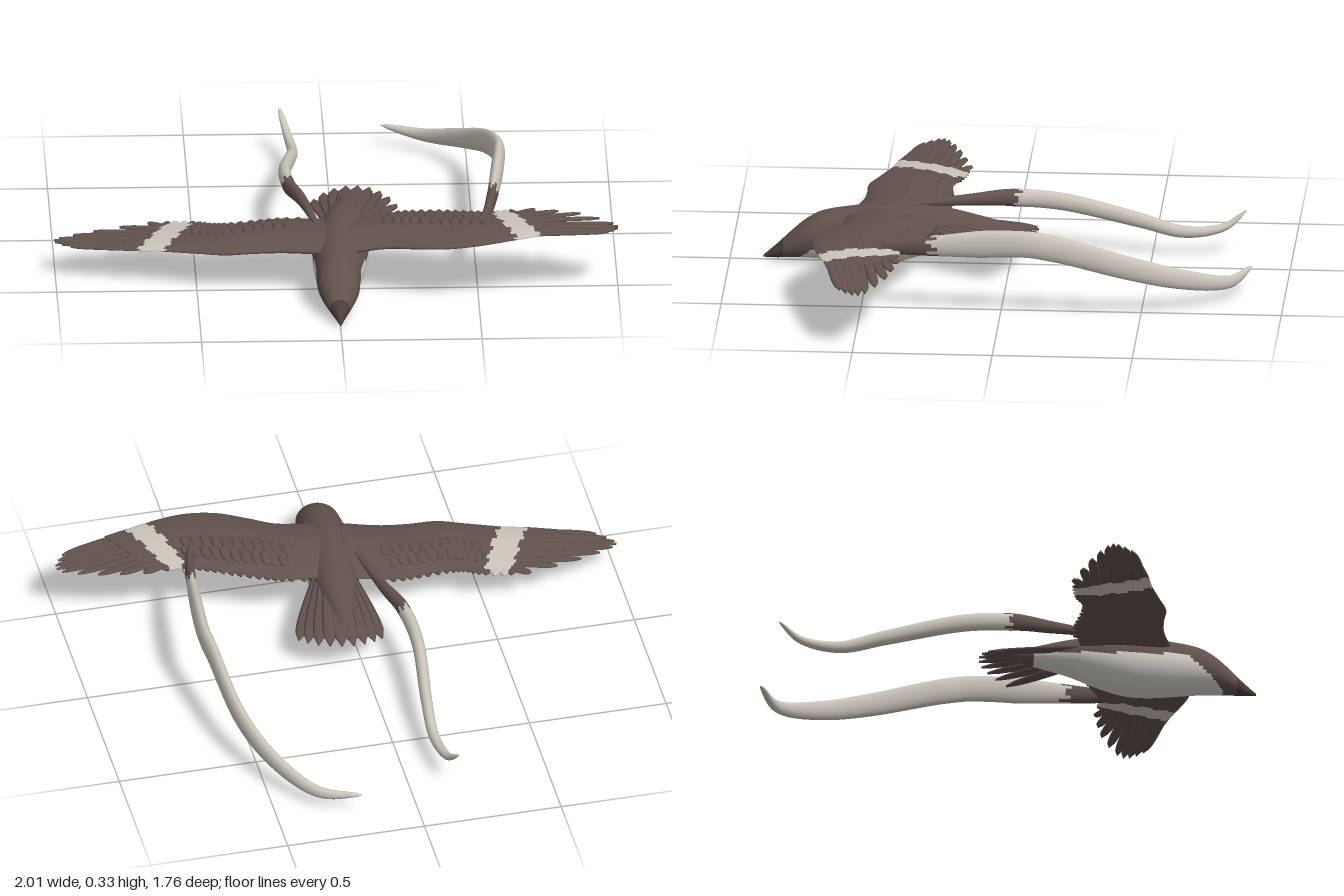
import * as THREE from 'three';

const mat = (name, color) => {
  const m = new THREE.MeshStandardMaterial({ color });
  m.name = name;
  return m;
};
const brown = mat('brown plumage', 0x62524d);
const dark = mat('dark beak', 0x4a3c39);
const white = mat('pale belly', 0xd6d2cb);
const cream = mat('cream feathers', 0xcbc5bb);

const V = (x, y, z) => new THREE.Vector3(x, y, z);
const spline = (pts) => new THREE.CatmullRomCurve3(pts, false, 'catmullrom', 0.5);
// n points around a section, from a function of the angle
const ring = (n, fn) => Array.from({ length: n }, (_, j) => fn((j / n) * Math.PI * 2));

// Closed skin over rings of points; pick(point, u, j) gives the material index of each cell
function loft(name, rings, mats, pick = () => 0) {
  const n = rings[0].length, rows = rings.length;
  const points = rings.flat();
  const at = (i, j) => i * n + (j % n);
  const lists = mats.map(() => []);
  for (let i = 0; i < rows - 1; i++) {
    for (let j = 0; j < n; j++) {
      const mid = rings[i][j].clone().lerp(rings[i + 1][(j + 1) % n], 0.5);
      lists[pick(mid, (i + 0.5) / (rows - 1), j)].push(
        at(i, j), at(i, j + 1), at(i + 1, j), at(i, j + 1), at(i + 1, j + 1), at(i + 1, j));
    }
  }
  // end caps
  [0, rows - 1].forEach((i) => {
    const c = rings[i].reduce((s, p) => s.add(p), V(0, 0, 0)).divideScalar(n);
    const k = points.push(c) - 1;
    const list = lists[pick(c, i / (rows - 1), 0)];
    for (let j = 0; j < n; j++) list.push(...(i ? [k, at(i, j), at(i, j + 1)] : [k, at(i, j + 1), at(i, j)]));
  });
  // turn every face outwards: a closed skin must hold a positive volume
  let volume = 0;
  lists.forEach((l) => {
    for (let k = 0; k < l.length; k += 3) {
      volume += points[l[k]].dot(points[l[k + 1]].clone().cross(points[l[k + 2]]));
    }
  });
  if (volume < 0) lists.forEach((l) => l.reverse());
  const g = new THREE.BufferGeometry().setFromPoints(points);
  g.setIndex(lists.flat());
  let start = 0;
  lists.forEach((l, m) => { g.addGroup(start, l.length, m); start += l.length; });
  g.computeVertexNormals();
  const mesh = new THREE.Mesh(g, mats);
  mesh.name = name;
  return mesh;
}

// Flat feather with a rounded tip
function feather(name, base, tip, width, material) {
  const dir = tip.clone().sub(base);
  const side = V(dir.z, 0, -dir.x).normalize();
  const rings = [];
  for (let i = 0; i <= 10; i++) {
    const t = i / 10;
    const w = width * 0.5 * (0.75 + 0.25 * t) * Math.sqrt(Math.max(0.01, 1 - t ** 5));
    rings.push(ring(8, (a) => base.clone().addScaledVector(dir, t)
      .addScaledVector(side, w * Math.cos(a)).add(V(0, 0.0045 * Math.sin(a), 0))));
  }
  return loft(name, rings, [material]);
}

function makeBody() {
  // z, centre x, bottom y, top y, half width
  const sections = [
    [0.88, 0, 0.008, 0.016, 0.003], [0.83, 0, 0.008, 0.06, 0.024], [0.78, 0, 0.012, 0.108, 0.05],
    [0.72, 0, 0.012, 0.158, 0.072], [0.65, 0, 0.008, 0.19, 0.08], [0.5, 0.01, 0, 0.215, 0.098],
    [0.4, 0.016, 0.01, 0.22, 0.1], [0.3, 0.025, 0.045, 0.22, 0.088], [0.2, 0.035, 0.088, 0.212, 0.068],
    [0, 0.05, 0.145, 0.17, 0.02],
  ];
  const low = spline(sections.map(([z, x, b]) => V(x, b, z)));
  const size = spline(sections.map(([z, , b, t, w]) => V(w, t - b, z)));
  const rings = [];
  for (let i = 0; i <= 88; i++) {
    const b = low.getPoint(i / 88), s = size.getPoint(i / 88);
    rings.push(ring(48, (a) => V(b.x + s.x * Math.cos(a), b.y + s.y * (0.5 + 0.5 * Math.sin(a)), b.z)));
  }
  return loft('body', rings, [brown, white, dark], (p) => {
    if (p.z > 0.81) return 2;
    const edge = 0.125 + 0.13 * Math.max(0, 0.35 - p.z);
    return p.z < 0.775 - 1.15 * p.y && p.z > 0.08 && p.y < edge ? 1 : 0;
  });
}

// stations: leading x, z and trailing x, z; tips: x, z along the outer feather ends; height: y from x
function makeWing(name, stations, tips, height) {
  const wing = new THREE.Group();
  wing.name = name;
  const lead = spline(stations.map(([x, z]) => V(x, height(x), z)));
  const trail = spline(stations.map(([, , x, z]) => V(x, height(x), z)));
  const ends = spline(tips.map(([x, z]) => V(x, height(x), z)));
  // point on the skin: u along the span, a around the section (0 leading, PI trailing)
  const skin = (u, a) => {
    const f = (1 - Math.cos(a)) / 2;
    const p = lead.getPoint(u).lerp(trail.getPoint(u), f);
    p.y += (0.004 + 0.021 * (1 - u) ** 0.8) * Math.sin(a) * (1.25 - 0.6 * f)
      + 0.016 * (1 - u) * Math.sin(Math.PI * f);
    return p;
  };
  const rings = [];
  for (let i = 0; i <= 98; i++) rings.push(ring(36, (a) => skin(i / 98, a)));
  // pale band between the sixth and seventh stations
  wing.add(loft('wingPanel', rings, [brown, cream], (p, u, j) => {
    const v = u + 0.012 * Math.sin(Math.min(j, 35 - j) * 1.9);
    return v > 5 / 7 && v < 6 / 7 ? 1 : 0;
  }));
  // long outer feathers
  for (let k = 0; k <= 8; k++) {
    const base = lead.getPoint(0.88).lerp(trail.getPoint(0.88), 0.08 + 0.86 * (k / 8));
    base.y += k % 2 ? 0.002 : -0.002;
    wing.add(feather('outerFeather', base, ends.getPoint(k / 8), 0.042, brown));
  }
  // scalloped trailing edge
  for (let k = 0; k < 18; k++) {
    const u = 0.1 + (k / 17) * 0.76;
    const end = trail.getPoint(u), base = end.clone().lerp(lead.getPoint(u), 0.25);
    const tip = end.clone().add(end.clone().sub(base).setLength(0.014));
    wing.add(feather('innerFeather', base, tip, 0.04, u > 0.73 && u < 0.85 ? cream : brown));
  }
  // overlapping coverts
  for (let row = 0; row < 2; row++) {
    for (let k = 0; k < 11; k++) {
      const u = 0.14 + (k + row * 0.5) * 0.049, f = 0.62 + row * 0.17;
      const on = (g) => skin(u, Math.acos(1 - 2 * g));
      wing.add(feather('covertFeather', on(f - 0.14), on(f + 0.06).add(V(0, 0.002, 0)), 0.04, brown));
    }
  }
  return wing;
}

// Tail fan, arched across its width
function makeTail() {
  const tail = new THREE.Group();
  tail.name = 'tail';
  for (let k = 0; k < 9; k++) {
    const s = k / 4 - 1;
    const a = 0.17 + s * 0.42;
    const len = 0.45 - 0.045 * s * s;
    const base = V(0.028 + s * 0.035, 0.185 - 0.012 * s * s, 0.33);
    const tip = V(0.024 + len * Math.sin(a) * 0.9, 0.152 - 0.03 * s * s, 0.34 - len * Math.cos(a));
    tail.add(feather('tailFeather', base, tip, 0.068, brown));
  }
  return tail;
}

// Trailing upright ribbon, brown up to the given part of its length
function makePennant(name, height, root, pts) {
  const path = spline(pts.map((p) => V(...p)));
  const rings = [];
  for (let i = 0; i <= 80; i++) {
    const u = i / 80, c = path.getPointAt(u), d = path.getTangentAt(u);
    const side = V(d.z, 0, -d.x).normalize();
    const up = d.clone().cross(side).normalize();
    const grow = Math.min(1, 0.2 + u * 2.6) * Math.max(0.002, 1 - u ** 3) ** 0.6;
    rings.push(ring(16, (a) => c.clone().addScaledVector(side, 0.023 * Math.sqrt(grow) * Math.cos(a))
      .addScaledVector(up, height * grow * Math.sin(a))));
  }
  return loft(name, rings, [brown, cream], (p, u, j) => (u + 0.015 * Math.sin(j * 2.3) < root ? 0 : 1));
}

export function createModel() {
  const bird = new THREE.Group();
  bird.name = 'bird';
  bird.add(makeBody(), makeTail());
  bird.add(makeWing('leftWing', [
    [0.03, 0.585, 0.03, 0.265], [0.17, 0.59, 0.19, 0.265], [0.27, 0.63, 0.28, 0.28], [0.38, 0.67, 0.38, 0.31],
    [0.5, 0.675, 0.47, 0.345], [0.635, 0.645, 0.55, 0.37], [0.72, 0.62, 0.625, 0.37], [0.8, 0.6, 0.69, 0.395],
  ], [[0.965, 0.547], [1, 0.5], [0.985, 0.455], [0.87, 0.392], [0.71, 0.36]],
  (x) => 0.168 + 0.13 * x - 0.08 * x ** 4));
  bird.add(makeWing('rightWing', [
    [-0.03, 0.58, -0.03, 0.25], [-0.18, 0.54, -0.17, 0.225], [-0.29, 0.53, -0.27, 0.23], [-0.4, 0.53, -0.38, 0.243],
    [-0.5, 0.5, -0.44, 0.238], [-0.615, 0.465, -0.5, 0.21], [-0.71, 0.445, -0.595, 0.195], [-0.8, 0.42, -0.66, 0.215],
  ], [[-0.945, 0.367], [-1, 0.315], [-0.985, 0.28], [-0.86, 0.232], [-0.665, 0.182]],
  (x) => 0.168 + 0.05 * x));
  bird.add(makePennant('leftPennant', 0.052, 0.2, [
    [0.47, 0.232, 0.55], [0.54, 0.242, 0.38], [0.592, 0.28, -0.03], [0.583, 0.26, -0.2],
    [0.55, 0.185, -0.45], [0.475, 0.12, -0.64], [0.35, 0.07, -0.8], [0.2, 0.08, -0.875],
  ]));
  bird.add(makePennant('rightPennant', 0.034, 0.31, [
    [-0.07, 0.195, 0.36], [-0.115, 0.2, 0.14], [-0.155, 0.197, 0], [-0.165, 0.18, -0.19],
    [-0.135, 0.13, -0.45], [-0.125, 0.092, -0.61], [-0.14, 0.105, -0.75], [-0.163, 0.165, -0.835],
  ]));
  return bird;
}
